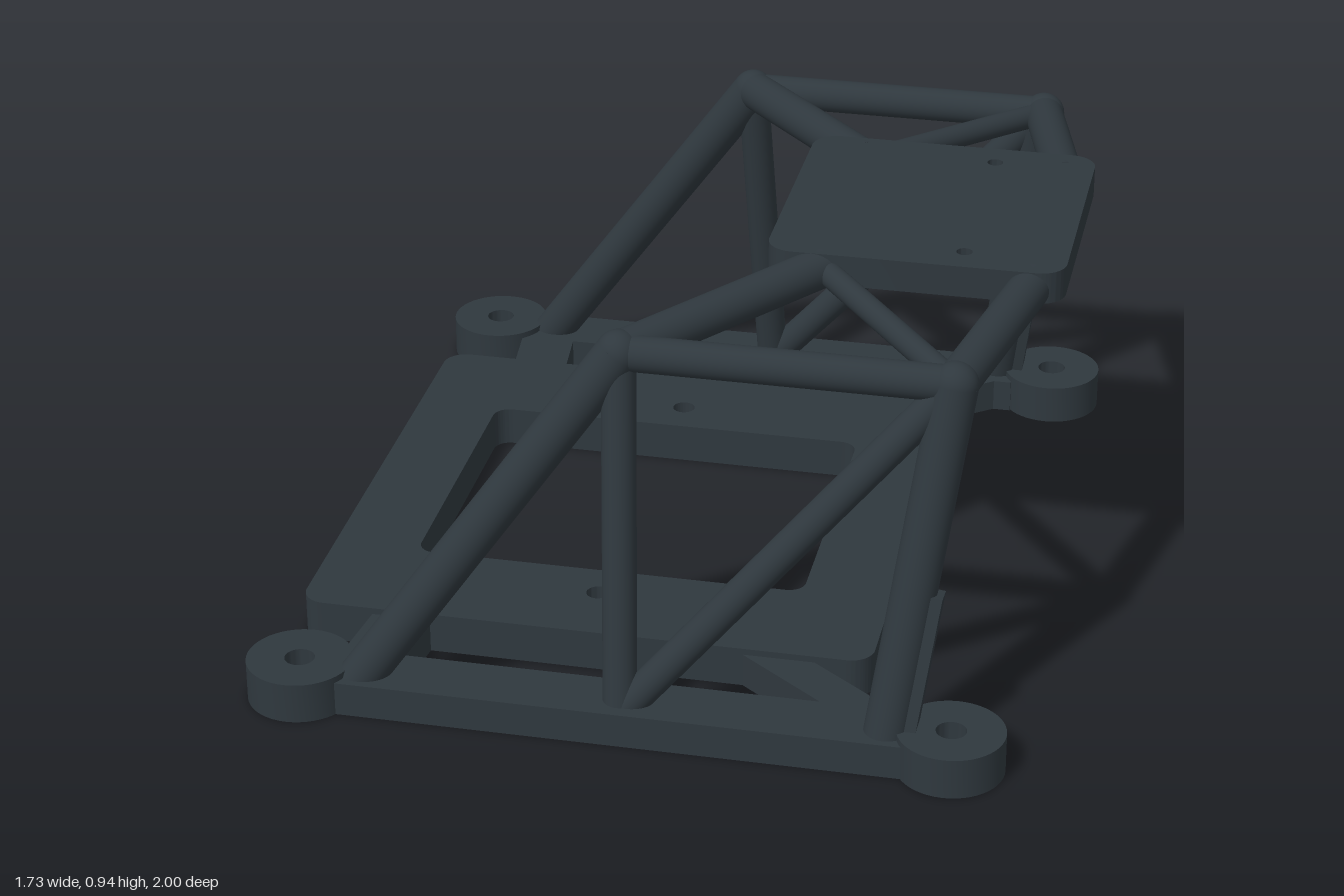
import * as THREE from 'three';
import { toCreasedNormals } from 'three/addons/utils/BufferGeometryUtils.js';

const slate = new THREE.MeshStandardMaterial({ color: 0x2f383e });
slate.name = 'dark slate';

const V = (x, y, z) => new THREE.Vector3(x, y, z);

function add(parent, name, geometry) {
  const mesh = new THREE.Mesh(geometry, slate);
  mesh.name = name;
  parent.add(mesh);
  return mesh;
}

// Rounded rectangle outline in plan
function roundedRect(target, x0, x1, halfZ, r) {
  target.moveTo(x0 + r, -halfZ);
  target.lineTo(x1 - r, -halfZ);
  target.absarc(x1 - r, -halfZ + r, r, -Math.PI / 2, 0);
  target.lineTo(x1, halfZ - r);
  target.absarc(x1 - r, halfZ - r, r, 0, Math.PI / 2);
  target.lineTo(x0 + r, halfZ);
  target.absarc(x0 + r, halfZ - r, r, Math.PI / 2, Math.PI);
  target.lineTo(x0, -halfZ + r);
  target.absarc(x0 + r, -halfZ + r, r, Math.PI, Math.PI * 1.5);
  return target;
}

function hole(shape, x, y, r) {
  shape.holes.push(new THREE.Path().absarc(x, y, r, 0, Math.PI * 2, true));
}

// Extrude a plan shape upward from y0 to y1
function slab(shape, y0, y1) {
  const g = new THREE.ExtrudeGeometry(shape, { depth: y1 - y0, bevelEnabled: false, curveSegments: 24 });
  g.rotateX(-Math.PI / 2).translate(0, y0, 0);
  return toCreasedNormals(g, 0.6);
}

// Round bar between two points
function bar(parent, name, a, b, r) {
  const mesh = add(parent, name, new THREE.CylinderGeometry(r, r, a.distanceTo(b), 32));
  mesh.position.copy(a).add(b).multiplyScalar(0.5);
  mesh.quaternion.setFromUnitVectors(V(0, 1, 0), b.clone().sub(a).normalize());
}

// Flat bar lying on the ground between two plan points
function flatBar(parent, name, x0, z0, x1, z1, width, height) {
  const dx = x1 - x0, dz = z1 - z0;
  const mesh = add(parent, name, new THREE.BoxGeometry(Math.hypot(dx, dz), height, width));
  mesh.position.set((x0 + x1) / 2, height / 2, (z0 + z1) / 2);
  mesh.rotation.y = -Math.atan2(dz, dx);
}

// Base frame with a window; the upper layer carries two blind holes
function basePlate(parent) {
  for (const [y0, y1, blind] of [[0, 0.06, false], [0.06, 0.095, true]]) {
    const s = roundedRect(new THREE.Shape(), -0.82, 0.505, 0.643, 0.055);
    s.holes.push(roundedRect(new THREE.Path(), -0.62, 0.3, 0.368, 0.04));
    if (blind) for (const z of [-0.468, 0.468]) hole(s, -0.16, z, 0.027);
    add(parent, blind ? 'basePlateTop' : 'basePlateBottom', slab(s, y0, y1));
  }
}

function roofPlate(parent) {
  const s = roundedRect(new THREE.Shape(), 0.195, 0.86, 0.327, 0.06);
  for (const z of [-0.249, 0.249]) hole(s, 0.63, z, 0.018);
  add(parent, 'roofPlate', slab(s, 0.862, 0.935));
}

// Feet, rail, struts and tubes of one side
function side(s) {
  const g = new THREE.Group();
  g.name = s > 0 ? 'frontSide' : 'backSide';

  for (const x of [-0.745, 0.72]) {
    const ring = new THREE.Shape().absarc(0, 0, 0.12, 0, Math.PI * 2);
    hole(ring, 0, 0, 0.034);
    add(g, 'mountingFoot', slab(ring, 0, 0.095)).position.set(x, 0, s * 0.88);
  }
  flatBar(g, 'sideRail', -0.65, s * 0.874, 0.625, s * 0.874, 0.146, 0.08);
  flatBar(g, 'straightStrut', -0.575, s * 0.6, -0.605, s * 0.87, 0.135, 0.08);
  flatBar(g, 'diagonalStrut', 0.24, s * 0.6, 0.57, s * 0.855, 0.1, 0.08);

  const footA = V(-0.615, 0.05, s * 0.885);
  const footMid = V(-0.012, 0.05, s * 0.885);
  const footB = V(0.575, 0.05, s * 0.885);
  const topA = V(-0.04, 0.86, s * 0.74);
  const topB = V(0.685, 0.86, s * 0.74);

  bar(g, 'slopedTube', footA, topA, 0.05);
  bar(g, 'endPost', footB, topB, 0.05);
  bar(g, 'middlePost', footMid, topA, 0.038);
  bar(g, 'sideDiagonal', footMid, topB, 0.037);
  bar(g, 'upperRail', topA, topB, 0.04);
  bar(g, 'roofTube', topA, V(0.32, 0.89, s * 0.3), 0.046);
  bar(g, 'roofEndTube', topB, V(0.79, 0.89, s * 0.28), 0.046);
  bar(g, 'roofDiagonal', topB, V(0.32, 0.89, s * 0.3), 0.028);
  for (const p of [topA, topB]) add(g, 'tubeJoint', new THREE.SphereGeometry(0.05, 32, 20)).position.copy(p);

  // Slim rib along the lower part of the end post
  const low = footB.clone().lerp(topB, 0.03), high = footB.clone().lerp(topB, 0.43);
  const rib = add(g, 'postRib', new THREE.BoxGeometry(0.06, low.distanceTo(high), 0.06));
  rib.position.copy(low).add(high).multiplyScalar(0.5);
  rib.position.x += 0.035;
  rib.quaternion.setFromUnitVectors(V(0, 1, 0), high.sub(low).normalize());
  return g;
}

export function createModel() {
  const model = new THREE.Group();
  model.name = 'tubeFrame';
  basePlate(model);
  roofPlate(model);
  model.add(side(1), side(-1));
  return model;
}
